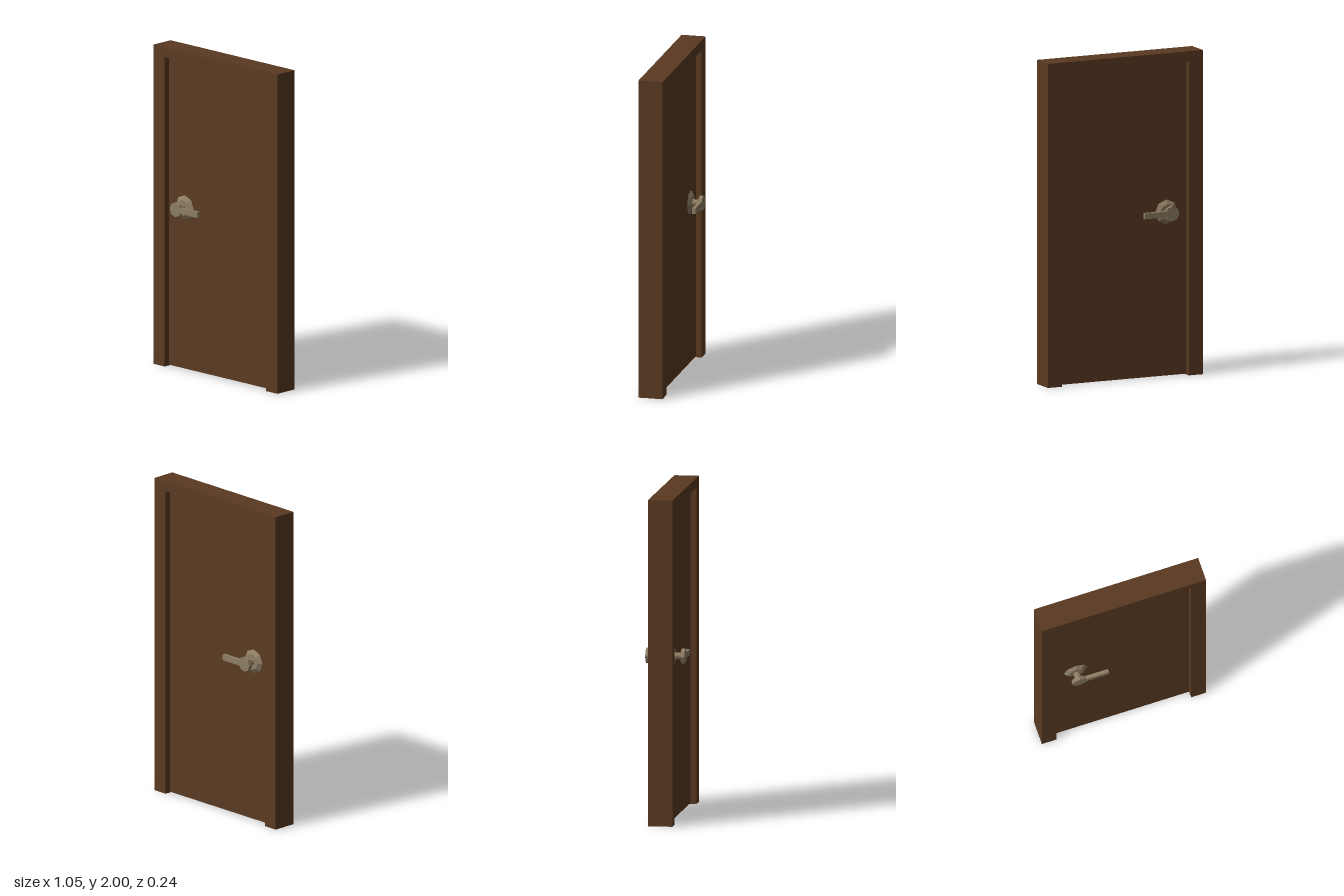
import * as THREE from 'three';

export function createModel() {
  const model = new THREE.Group();
  model.name = 'door';

  const wood = new THREE.MeshStandardMaterial({ color: 0x5a3a22 });
  wood.name = 'brown wood';
  const metal = new THREE.MeshStandardMaterial({ color: 0x8d7d62 });
  metal.name = 'dull brass';

  const add = (parent, name, geometry, material, x = 0, y = 0, z = 0) => {
    const mesh = new THREE.Mesh(geometry, material);
    mesh.name = name;
    mesh.position.set(x, y, z);
    parent.add(mesh);
    return mesh;
  };

  // Frame: an upside-down U, open at the floor
  const outline = new THREE.Shape([
    [-0.525, 0], [-0.43, 0], [-0.43, 1.938], [0.43, 1.938],
    [0.43, 0], [0.525, 0], [0.525, 2], [-0.525, 2],
  ].map(([x, y]) => new THREE.Vector2(x, y)));
  const frame = new THREE.ExtrudeGeometry(outline, { depth: 0.15, bevelEnabled: false });
  add(model, 'frame', frame, wood, 0, 0, -0.075);

  // Door leaf, recessed on both sides
  add(model, 'doorLeaf', new THREE.BoxGeometry(0.86, 1.933, 0.076), wood, 0, 0.9715, 0);

  // Eight-sided disc along z with a corner on each axis, flat shaded
  const disc = (rFront, rBack, z0, z1) => {
    const g = new THREE.CylinderGeometry(rFront, rBack, z1 - z0, 8);
    g.rotateX(Math.PI / 2).translate(0, 0, (z0 + z1) / 2);
    const flat = g.toNonIndexed();
    flat.computeVertexNormals();
    return flat;
  };

  // One lever handle on each face, pointing the same way
  const makeHandle = (name, side) => {
    const handle = new THREE.Group();
    handle.name = name;
    handle.position.set(-0.296, 1.014, 0);
    if (side < 0) handle.rotation.y = Math.PI;
    add(handle, 'rosette', disc(0.05, 0.08, 0.036, 0.055), metal);
    add(handle, 'stem', disc(0.021, 0.021, 0.05, 0.1), metal);
    add(handle, 'hub', disc(0.047, 0.047, 0.097, 0.12), metal);
    add(handle, 'lever', new THREE.BoxGeometry(0.15, 0.036, 0.022), metal, side * 0.111, 0, 0.1085);
    model.add(handle);
  };
  makeHandle('frontHandle', 1);
  makeHandle('backHandle', -1);

  return model;
}
